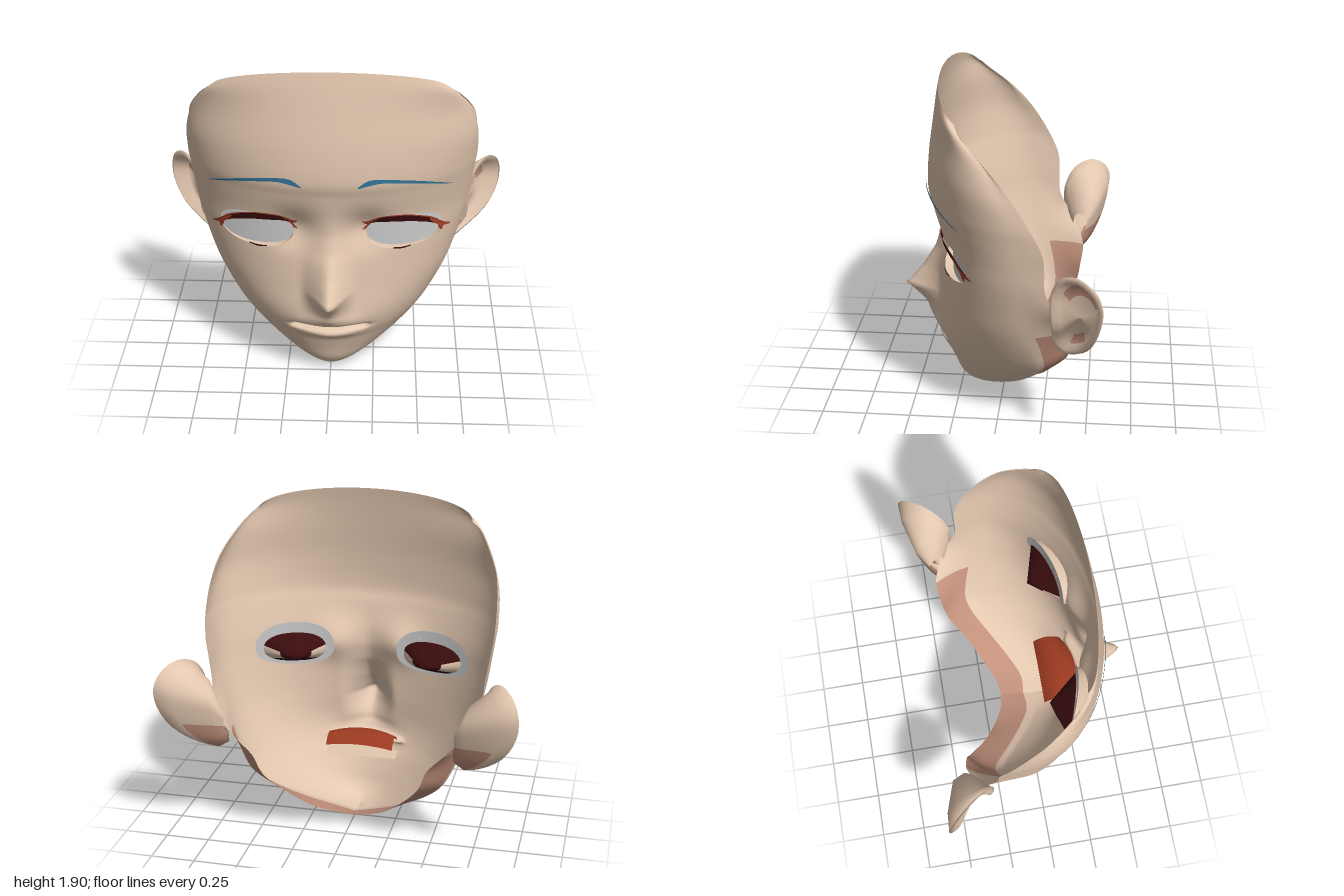
import * as THREE from 'three';
import { mergeVertices } from 'three/addons/utils/BufferGeometryUtils.js';

const paint = (name, color) => new THREE.MeshStandardMaterial({ name, color, side: THREE.DoubleSide });
const skin = paint('skin', 0xe4c8b0);
const blush = paint('shadedSkin', 0xc2917c);
const eyeWhite = paint('eyeWhite', 0xcacaca);
const darkLash = paint('darkLash', 0x3a0c0e);
const redLash = paint('redLash', 0xa8432a);
const browBlue = paint('browBlue', 0x34789c);
const mouthRed = paint('mouthRed', 0x9c3a22);

// Face rows, forehead to chin: centre y z | side x y z | open back edge x y z
const ROWS = [
  [1.905, .345, .62, 1.78, .21, .63, 1.775, .20],
  [1.81, .363, .685, 1.725, .17, .70, 1.715, .155],
  [1.66, .387, .765, 1.60, .05, .78, 1.58, .015],
  [1.48, .413, .81, 1.45, -.02, .81, 1.44, -.10],
  [1.30, .424, .82, 1.30, -.10, .815, 1.28, -.20],
  [1.20, .402, .81, 1.20, -.12, .80, 1.15, -.26],
  [1.05, .367, .79, 1.05, -.14, .785, 1.05, -.27],
  [.93, .355, .77, .93, -.14, .765, .90, -.28],
  [.78, .36, .73, .78, -.14, .73, .76, -.36],
  [.62, .37, .68, .62, -.15, .60, .64, -.43],
  [.47, .385, .62, .47, -.20, .50, .53, -.42],
  [.36, .37, .56, .36, -.22, .46, .43, -.40],
  [.27, .33, .48, .27, -.18, .42, .36, -.37],
  [.18, .295, .37, .18, -.10, .33, .25, -.29],
  [.09, .262, .23, .09, 0, .22, .15, -.22],
  [.03, .21, .11, .03, .06, .10, .09, -.16],
  [0, .13, 0, .005, .05, 0, .07, -.14],
];
const LAST = ROWS.length - 1;
const NOSE = [[.42, 0], [.458, .045], [.52, .1], [.57, .165], [.605, .21], [.635, .18],
  [.72, .115], [.85, .045], [.95, .02], [1.05, .01], [1.2, 0]];

// Catmull-Rom blend of neighbouring rows
function row(v) {
  const f = Math.min(v, 1) * LAST, i = Math.min(Math.floor(f), LAST - 1), t = f - i;
  const at = (n) => ROWS[Math.min(Math.max(n, 0), LAST)];
  const [a, b, c, d] = [at(i - 1), at(i), at(i + 1), at(i + 2)];
  return b.map((p, k) => p + .5 * t * (c[k] - a[k] + t * (2 * a[k] - 5 * p + 4 * c[k] - d[k]
    + t * (3 * (p - c[k]) + d[k] - a[k]))));
}

const bell = (d, w) => Math.exp(-((d / w) ** 2));

// Nose, lips and eye sockets pushed out of or into the plain face
function relief(x, y) {
  const ax = Math.abs(x), soft = Math.hypot(ax, .025) - .025;
  let z = -.05 * bell(ax - .2, .12) * bell(y - .98, .11);
  for (let i = 1; i < NOSE.length; i++) {
    const [y0, h0] = NOSE[i - 1], [y1, h1] = NOSE[i];
    if (y >= y0 && y < y1) z += (h0 + (h1 - h0) * (y - y0) / (y1 - y0)) * Math.max(0, 1 - soft / .14) ** 1.5;
  }
  z += .04 * bell(y - .42, .04) * bell(x, .13) + .025 * bell(y - .315, .03) * bell(x, .14);
  return z - .055 * bell(y - .362, .014) / (1 + Math.exp((ax - .21) * 90));
}

// Depth of the front of the face at x, y
function faceZ(x, y) {
  let lo = 0, hi = 1;
  for (let n = 0; n < 24; n++) {
    const m = (lo + hi) / 2;
    if (row(m)[0] > y) lo = m; else hi = m;
  }
  const r = row(lo);
  return r[4] + (r[1] - r[4]) * Math.sqrt(Math.max(0, 1 - (x / r[2]) ** 2)) + relief(x, y);
}

// Grid sheet; pick gives the material index of each cell, or -1 to leave it out
function sheet(name, nu, nv, point, materials, pick = () => 0) {
  const pos = [], lists = materials.map(() => []);
  for (let j = 0; j <= nv; j++) for (let i = 0; i <= nu; i++) pos.push(...point(i / nu, j / nv));
  for (let j = 0; j < nv; j++) for (let i = 0; i < nu; i++) {
    const m = pick(i, j);
    if (m < 0) continue;
    const a = j * (nu + 1) + i, b = a + nu + 1;
    lists[m].push(a, b, a + 1, a + 1, b, b + 1);
  }
  let geo = new THREE.BufferGeometry();
  geo.setAttribute('position', new THREE.Float32BufferAttribute(pos, 3));
  geo.setIndex(lists.flat());
  let start = 0;
  lists.forEach((l, m) => { geo.addGroup(start, l.length, m); start += l.length; });
  geo = mergeVertices(geo, 1e-5);
  geo.computeVertexNormals();
  const mesh = new THREE.Mesh(geo, materials.length > 1 ? materials : materials[0]);
  mesh.name = name;
  return mesh;
}

// Eye opening: rounded box outline
const EYE = { x: .411, y: .953, rx: .209, ry: .105, p: 2.4 };
const eyeNorm = (x, y) => (Math.abs((Math.abs(x) - EYE.x) / EYE.rx) ** EYE.p
  + Math.abs((y - EYE.y) / EYE.ry) ** EYE.p) ** (1 / EYE.p);
function eyeRim(angle, scale) {
  const c = Math.cos(angle), s = Math.sin(angle);
  const k = scale / (Math.abs(c) ** EYE.p + Math.abs(s) ** EYE.p) ** (1 / EYE.p);
  return [EYE.x + EYE.rx * c * k, EYE.y + EYE.ry * s * k];
}
const ballZ = (x) => .272 - .14 * ((x - .18) / .46) ** 2;

function buildFace() {
  const nu = 120, nv = 160, split = .78;
  const raw = (u, v) => {
    const r = row(v), w = u * 2 - 1, a = Math.abs(w), sg = Math.sign(w);
    if (a <= split) {
      const t = a / split * Math.PI / 2, c = Math.cos(t);
      const x = sg * r[2] * Math.sin(t), y = r[3] + (r[0] - r[3]) * c;
      return [x, y, r[4] + (r[1] - r[4]) * c + relief(x, y)];
    }
    const k = (a - split) / (1 - split);
    return [sg * (r[2] + (r[5] - r[2]) * k * k), r[3] + (r[6] - r[3]) * k, r[4] + (r[7] - r[4]) * k];
  };
  const point = (u, v) => {
    const p = raw(u, v), q = eyeNorm(p[0], p[1]);
    if (q >= 1 || q < .3 || p[2] < 0) return p;
    const x = Math.sign(p[0]) * (EYE.x + (Math.abs(p[0]) - EYE.x) / q), y = EYE.y + (p[1] - EYE.y) / q;
    return [x, y, faceZ(x, y)];
  };
  const inEye = (i, j) => {
    const p = raw(i / nu, j / nv);
    return p[2] > 0 && eyeNorm(p[0], p[1]) < 1;
  };
  return sheet('face', nu, nv, point, [skin, blush], (i, j) => {
    if (inEye(i, j) && inEye(i + 1, j) && inEye(i, j + 1) && inEye(i + 1, j + 1)) return -1;
    const a = Math.abs((i + .5) / nu * 2 - 1);
    return a > .84 && j / nv * LAST > 9 ? 1 : 0;
  });
}

// Thin strip lying on the face between two curves of x, y points
function strip(name, s, upper, lower, lift, material) {
  const [cu, cl] = [upper, lower].map((l) => new THREE.SplineCurve(l.map((p) => new THREE.Vector2(...p))));
  return sheet(name, 24, 2, (u, v) => {
    const p = cu.getPoint(u).lerp(cl.getPoint(u), v);
    return [s * p.x, p.y, faceZ(p.x, p.y) + lift];
  }, [material]);
}

function buildEye(s) {
  const eye = new THREE.Group();
  eye.name = s > 0 ? 'leftEye' : 'rightEye';
  const turn = Math.PI * 2;
  eye.add(sheet('eyeball', 40, 8, (u, v) => {
    const [x, y] = eyeRim(u * turn, v * 1.06);
    return [s * x, y + .04 * v * v * Math.max(0, Math.sin(u * turn)), ballZ(x)];
  }, [eyeWhite]));
  // eyelid wall between the opening and the eyeball
  eye.add(sheet('eyelid', 40, 1, (u, v) => {
    const [x, y] = eyeRim(u * turn, 1);
    return [s * x, y, v ? ballZ(x) : faceZ(x, y)];
  }, [skin]));
  // hollow cup behind the eyeball
  eye.add(sheet('eyeCup', 32, 4, (u, v) => {
    const [x, y] = eyeRim(u * turn, .84), z = ballZ(x) - .012;
    return [s * (x + (.37 - x) * v), y + (.93 - y) * v, z + (.09 - z) * v];
  }, [darkLash, skin], (i, j) => {
    const a = (i + .5) / 32 * 360;
    return j < 2 && (a > 310 || a < 10 || (a > 170 && a < 230)) ? 1 : 0;
  }));
  eye.add(
    strip('upperLash', s, [[.2, .99], [.22, 1.03], [.3, 1.06], [.42, 1.06], [.54, 1.02], [.64, .945]],
      [[.195, .965], [.225, 1.01], [.3, 1.025], [.42, 1.02], [.54, .985], [.63, .93]], .012, darkLash),
    strip('lashEdge', s, [[.22, 1.037], [.3, 1.068], [.42, 1.067], [.54, 1.027], [.6, .985]],
      [[.22, 1.029], [.3, 1.06], [.42, 1.06], [.54, 1.018], [.6, .973]], .014, redLash),
    strip('outerLash', s, [[.55, 1.015], [.62, .962], [.67, .93]], [[.55, 1.0], [.61, .94], [.665, .922]], .018, redLash),
    strip('outerLashTip', s, [[.6, .945], [.615, .94], [.63, .93]], [[.6, .935], [.612, .91], [.625, .905]], .016, redLash),
    strip('innerLash', s, [[.175, 1.035], [.2, 1.03], [.26, 1.055]], [[.18, 1.025], [.205, 1.01], [.26, 1.045]], .018, redLash),
    strip('innerLashTip', s, [[.18, .98], [.2, 1.0], [.22, 1.02]], [[.182, .97], [.207, .99], [.225, 1.012]], .016, redLash),
    strip('lowerLash', s, [[.35, .86], [.4, .856], [.45, .86]], [[.35, .854], [.4, .846], [.45, .854]], .008, darkLash),
    strip('eyebrow', s, [[.15, 1.28], [.21, 1.322], [.3, 1.322], [.45, 1.295], [.56, 1.26], [.675, 1.207]],
      [[.155, 1.275], [.22, 1.292], [.3, 1.3], [.45, 1.276], [.56, 1.246], [.675, 1.204]], .012, browBlue),
  );
  return eye;
}

// Ear outline (z, y) and rings from the head, over the rim, into the hollow: scale, dx, dy, dz
const EAR = [[-.30, .86], [-.31, .95], [-.36, 1.04], [-.45, 1.075], [-.54, 1.03], [-.58, .95],
  [-.57, .84], [-.525, .70], [-.45, .59], [-.37, .55], [-.32, .60], [-.31, .72]];
const EAR_RINGS = [[.3, -.4, -.1, .03], [.7, -.3, -.05, .02], [.92, -.1, -.02, -.005], [1, 0, 0, 0],
  [.87, .005, 0, .005], [.76, -.08, 0, -.02], [.5, -.11, 0, -.025], [.01, -.1, 0, -.02]];

function buildEar(s) {
  const outline = new THREE.CatmullRomCurve3(EAR.map(([z, y]) =>
    new THREE.Vector3(.79 + (-.3 - z) * .75 - Math.max(0, .75 - y) * .7, y, z)), true);
  const middle = new THREE.Vector3(.88, .82, -.44), n = 36, m = EAR_RINGS.length - 1;
  return sheet(s > 0 ? 'leftEar' : 'rightEar', n, m, (u, v) => {
    const [k, dx, dy, dz] = EAR_RINGS[Math.round(v * m)];
    const p = outline.getPoint(u % 1).sub(middle).multiplyScalar(k).add(middle);
    // the ear stands further off the head towards its back
    return [s * (p.x + dx * (-.28 - p.z) / .3), p.y + dy, p.z + dz];
  }, [skin, blush], (i, j) => {
    const a = i / n * 12;
    const hollow = j === 5 && ((a > 1 && a < 5) || (a > 7.5 && a < 9));
    return hollow || (j < 2 && a > 6.5 && a < 11) ? 1 : 0;
  });
}

export function createModel() {
  const model = new THREE.Group();
  model.name = 'headMask';
  model.add(buildFace());
  for (const s of [1, -1]) model.add(buildEye(s), buildEar(s));
  // curved roof and floor of the mouth, behind the lips
  model.add(sheet('mouthRoof', 16, 10, (u, v) => {
    const w = u * 2 - 1;
    return [.2 * w, .41 + .2 * v * (1 - v) - .02 * w * w, .1 + (.225 - .06 * w * w) * v];
  }, [mouthRed]));
  model.add(sheet('mouthFloor', 16, 2, (u, v) => {
    const w = u * 2 - 1;
    return [.21 * w, .32, .14 + (.17 - .06 * w * w) * v];
  }, [skin]));
  return model;
}
